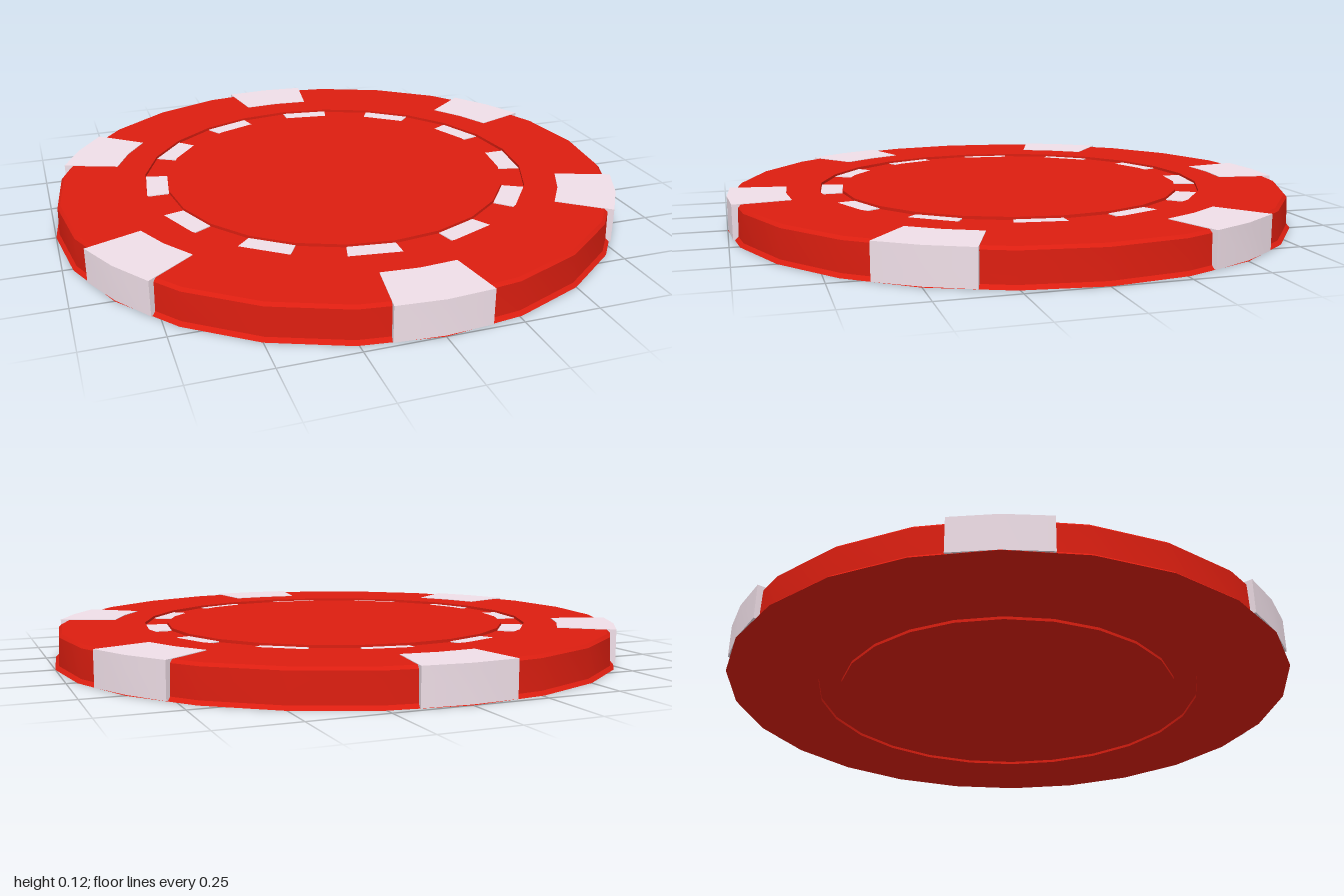
import * as THREE from 'three';
import { toCreasedNormals } from 'three/addons/utils/BufferGeometryUtils.js';

const SIDES = 24;
const STEP = (Math.PI * 2) / SIDES;
const red = new THREE.MeshStandardMaterial({ color: 0xdc1e10 });
const white = new THREE.MeshStandardMaterial({ color: 0xf0dfe8 });

// Ring sector between two radii and heights; angles run from the back (-z) towards +x
function sector(r0, r1, a0, a1, y0, y1, steps) {
  const pts = [];
  for (let i = 0; i <= steps; i++) {
    const a = a0 + ((a1 - a0) * i) / steps;
    pts.push(new THREE.Vector2(r1 * Math.sin(a), r1 * Math.cos(a)));
  }
  for (let i = steps; i >= 0; i--) {
    const a = a0 + ((a1 - a0) * i) / steps;
    pts.push(new THREE.Vector2(r0 * Math.sin(a), r0 * Math.cos(a)));
  }
  const g = new THREE.ExtrudeGeometry(new THREE.Shape(pts), { depth: y1 - y0, bevelEnabled: false });
  g.rotateX(-Math.PI / 2).translate(0, y0, 0);
  return toCreasedNormals(g, 0.5);
}

export function createModel() {
  const chip = new THREE.Group();
  chip.name = 'chip';

  const add = (name, geometry, material) => {
    const mesh = new THREE.Mesh(geometry, material);
    mesh.name = name;
    chip.add(mesh);
  };

  // Disc with a tapered rim and a shallow ring groove on both faces
  const profile = [
    [0, 0], [0.605, 0], [0.605, 0.01], [0.685, 0.01], [0.685, 0],
    [1, 0], [0.988, 0.012], [0.985, 0.108], [0.975, 0.118],
    [0.685, 0.118], [0.685, 0.108], [0.605, 0.108], [0.605, 0.118], [0, 0.118],
  ].map(([x, y]) => new THREE.Vector2(x, y));
  add('disc', toCreasedNormals(new THREE.LatheGeometry(profile, SIDES), 0.5), red);

  // Six edge blocks wrapping over the rim
  const half = THREE.MathUtils.degToRad(9);
  for (let i = 0; i < 6; i++) {
    const a = (i * Math.PI) / 3;
    add('edgeBlock' + (i + 1), sector(0.8, 0.998, a - half, a + half, 0.002, 0.12, 2), white);
  }

  // Inlays filling every other side of the top groove
  for (let i = 0; i < SIDES; i += 2) {
    add('grooveInlay' + (i / 2 + 1), sector(0.607, 0.683, i * STEP, (i + 1) * STEP, 0.1, 0.111, 1), white);
  }

  return chip;
}
